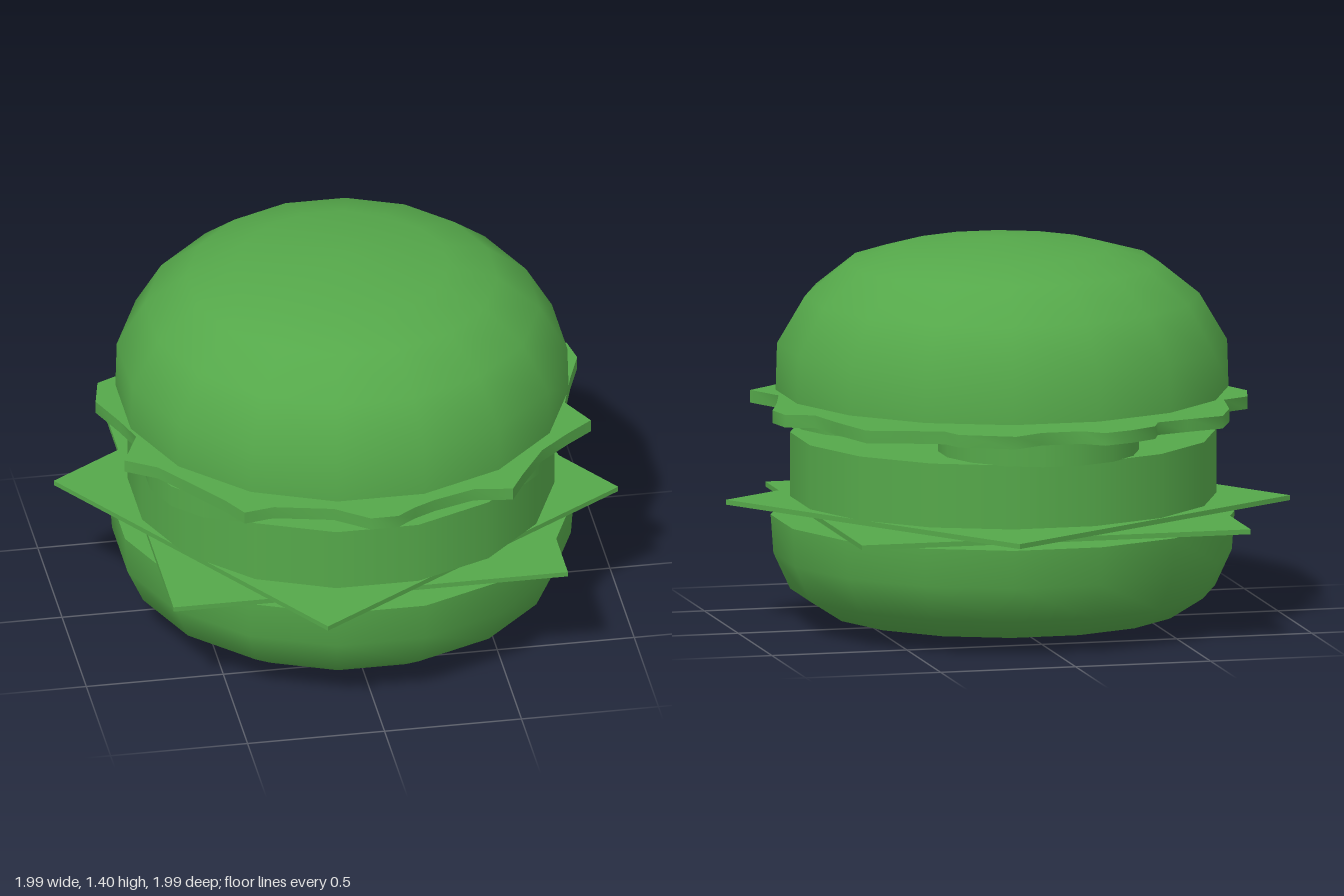
import * as THREE from 'three';
import { toCreasedNormals } from 'three/addons/utils/BufferGeometryUtils.js';

const SIDES = 16;
const TURN = Math.PI / SIDES; // puts a flat side to the front

export function createModel() {
  const burger = new THREE.Group();
  burger.name = 'burger';
  const material = new THREE.MeshStandardMaterial({ color: 0x55a84a });

  const add = (name, geometry, x, y, z) => {
    const mesh = new THREE.Mesh(geometry, material);
    mesh.name = name;
    mesh.position.set(x, y, z);
    burger.add(mesh);
    return mesh;
  };
  const lathe = (profile) => toCreasedNormals(
    new THREE.LatheGeometry(profile.map(([r, y]) => new THREE.Vector2(r, y)), SIDES, TURN), 0.9);

  // Buns
  add('bottomBun', lathe([[0, 0], [0.44, 0.03], [0.64, 0.05], [0.765, 0.13],
    [0.825, 0.26], [0.835, 0.4], [0, 0.4]]), 0.02, 0.005, 0);
  add('topBun', lathe([[0, 0.86], [0.815, 0.86], [0.81, 1.03], [0.71, 1.2],
    [0.56, 1.32], [0.385, 1.37], [0, 1.41]]), 0.022, 0, 0);

  // Two cheese slices, the upper one turned
  const slice = new THREE.BoxGeometry(1.44, 0.018, 1.43);
  add('lowerCheese', slice, 0, 0.421, 0);
  add('upperCheese', slice, 0, 0.45, 0).rotation.y = Math.PI / 4 - 0.19 + Math.PI / 2 - 0.03 + 0.02 - Math.PI / 2;

  // Patty
  add('patty', new THREE.CylinderGeometry(0.767, 0.767, 0.233, SIDES, 1, false, TURN), 0.018, 0.588, 0);

  // Three tomato slices side by side
  const tomato = new THREE.CylinderGeometry(0.362, 0.362, 0.082, SIDES, 1, false, TURN);
  [[-0.382, 0.262], [0.362, 0.262], [0, -0.45]].forEach(([x, z], i) =>
    add('tomato' + (i + 1), tomato, x, 0.744, z));

  // Lettuce leaf with a ruffled outline, as x and z round the rim
  const rim = [
    [-0.35, -0.78], [-0.25, -0.84], [-0.14, -0.88], [-0.07, -0.82], [0.08, -0.82], [0.19, -0.88],
    [0.38, -0.79], [0.41, -0.71], [0.53, -0.665], [0.68, -0.62], [0.74, -0.42], [0.78, -0.25],
    [0.88, -0.22], [0.9, -0.11], [0.85, 0.03], [0.8, 0.2], [0.87, 0.34], [0.77, 0.42],
    [0.66, 0.52], [0.56, 0.68], [0.51, 0.77], [0.37, 0.75], [0.22, 0.8], [0.14, 0.84],
    [0.07, 0.89], [-0.03, 0.89], [-0.15, 0.8], [-0.36, 0.75], [-0.47, 0.77], [-0.52, 0.68],
    [-0.64, 0.51], [-0.72, 0.4], [-0.83, 0.33], [-0.76, 0.17], [-0.8, 0.05], [-0.86, -0.1],
    [-0.83, -0.23], [-0.73, -0.28], [-0.7, -0.48], [-0.64, -0.62], [-0.5, -0.66], [-0.38, -0.7],
  ];
  const leaf = new THREE.Shape(rim.map(([x, z]) => new THREE.Vector2(x, -z)));
  const leafGeometry = new THREE.ExtrudeGeometry(leaf, { depth: 0.046, bevelEnabled: false });
  leafGeometry.rotateX(-Math.PI / 2);
  add('lettuce', toCreasedNormals(leafGeometry, 1.1), 0, 0.785, 0);

  return burger;
}
